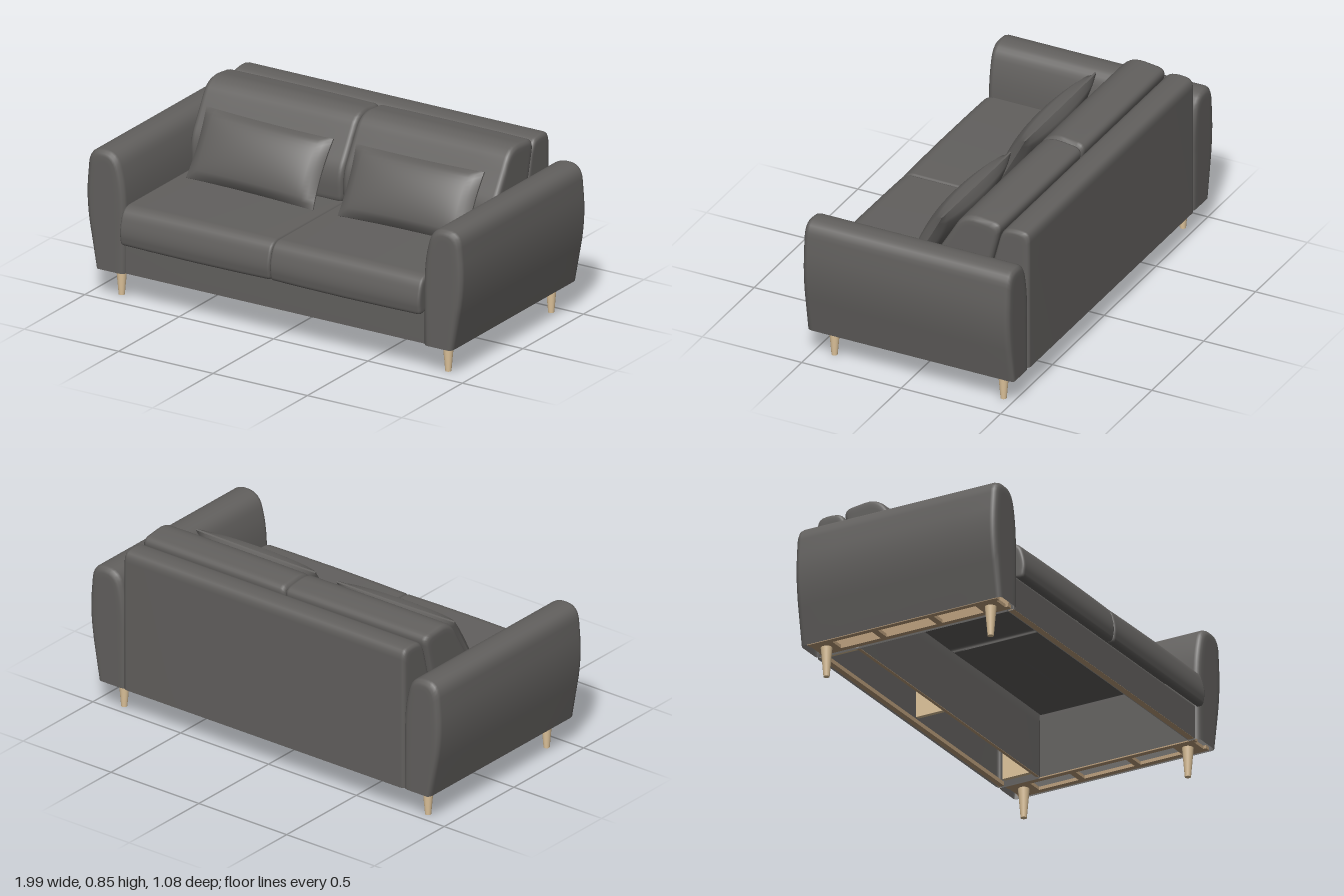
import * as THREE from 'three';

const fabric = new THREE.MeshStandardMaterial({ color: 0x62605e, side: THREE.DoubleSide });
fabric.name = 'charcoal fabric';
const wood = new THREE.MeshStandardMaterial({ color: 0xe0c59c });
wood.name = 'pale wood';
const frameWood = new THREE.MeshStandardMaterial({ color: 0xbc9f7c });
frameWood.name = 'brown frame wood';

// Rounds the corners of a polyline of [a, b, radius]
function roundPoly(pts, closed) {
  const out = [], n = pts.length;
  pts.forEach((p, i) => {
    const P = new THREE.Vector2(p[0], p[1]);
    if (!closed && (i === 0 || i === n - 1)) { out.push(P); return; }
    const ends = [pts[(i + n - 1) % n], pts[(i + 1) % n]].map(q => {
      const d = new THREE.Vector2(q[0], q[1]).sub(P);
      return P.clone().add(d.setLength(Math.min(p[2], d.length() * 0.45)));
    });
    out.push(...new THREE.QuadraticBezierCurve(ends[0], P, ends[1]).getPoints(6));
  });
  return out;
}

// Sweeps a profile from t0 to t1 along x or z, with rounded ends.
// An open profile gives a shell without a bottom.
function loft(axis, pts, t0, t1, bevel, closed, puff = 0) {
  const prof = roundPoly(pts, closed), n = prof.length;
  const box = new THREE.Box2().setFromPoints(prof);
  const c = box.getCenter(new THREE.Vector2()), size = box.getSize(new THREE.Vector2());
  if (!closed) c.y = box.min.y;
  const edge = [[0, 1.8], [0, 1], [0.12, 0.5], [0.5, 0.12], [1, 0]];
  const stations = edge.map(([t, k]) => [t0 + t * bevel, k * bevel]);
  for (const f of [0.2, 0.5, 0.8]) {
    stations.push([t0 + (t1 - t0) * f, -puff * Math.sin(Math.PI * f)]);
  }
  stations.push(...edge.slice().reverse().map(([t, k]) => [t1 - t * bevel, k * bevel]));
  const pos = [], idx = [];
  for (const [t, inset] of stations) {
    const sa = 1 - inset / (size.x / 2), sb = 1 - inset / (closed ? size.y / 2 : size.y);
    for (const p of prof) {
      const a = c.x + (p.x - c.x) * sa, b = c.y + (p.y - c.y) * sb;
      if (axis === 'x') pos.push(t, b, a);
      else pos.push(a, b, t);
    }
  }
  const last = stations.length - 1, m = closed ? n : n - 1;
  for (let i = 0; i < m; i++) {
    const j = (i + 1) % n;
    for (let s = 0; s < last; s++) {
      const a = s * n + i, b = s * n + j;
      idx.push(a, a + n, b, b, a + n, b + n);
    }
  }
  // End caps, wound to match the sides
  const { area, triangulateShape } = THREE.ShapeUtils, turn = area(prof), e = last * n;
  for (const [i, j, k] of triangulateShape(prof, [])) {
    const same = area([prof[i], prof[j], prof[k]]) * turn > 0;
    const [p, q] = same ? [j, k] : [k, j];
    idx.push(i, p, q, e + i, e + q, e + p);
  }
  const g = new THREE.BufferGeometry();
  g.setAttribute('position', new THREE.Float32BufferAttribute(pos, 3));
  g.setIndex(idx);
  g.computeVertexNormals();
  return g;
}

// Thin-edged pillow with drawn-out corners
function pillowGeometry(hw, hh, depth) {
  const g = new THREE.BoxGeometry(2, 2, 2, 24, 16, 1), p = g.attributes.position;
  for (let i = 0; i < p.count; i++) {
    const u = p.getX(i), v = p.getY(i), s = Math.sign(p.getZ(i));
    const fat = Math.pow((1 - u * u) * (1 - v * v), 0.45);
    p.setXYZ(i,
      u * hw * (1 - 0.03 * (1 - v * v)),
      v * hh * (1 - 0.03 * (1 - u * u)),
      s * (0.004 + depth * fat));
  }
  g.computeVertexNormals();
  return g;
}

export function createModel() {
  const sofa = new THREE.Group();
  sofa.name = 'sofa';
  const add = (name, geo, mat, parent = sofa) => {
    const m = new THREE.Mesh(geo, mat);
    m.name = name;
    parent.add(m);
    return m;
  };
  const board = (name, w, h, d, x, y, z, parent, mat = frameWood) =>
    add(name, new THREE.BoxGeometry(w, h, d), mat, parent).position.set(x, y, z);

  // Hollow back and front apron
  add('backrest', loft('x', [[-0.315, 0.14], [-0.315, 0.5, 0.1], [-0.402, 0.82, 0.05],
    [-0.47, 0.832, 0.05], [-0.537, 0.822, 0.045], [-0.537, 0.14]], -0.8, 0.8, 0.02, false), fabric);
  add('frontApron', loft('x', [[0.485, 0.14], [0.485, 0.31, 0.015], [0.45, 0.31, 0.01],
    [0.45, 0.14]], -0.8, 0.8, 0.004, false), fabric);

  // Wooden base rails
  board('frontRail', 1.58, 0.02, 0.03, 0, 0.152, 0.467);
  board('backRail', 1.58, 0.02, 0.025, 0, 0.152, -0.515);
  board('backBoard', 1.58, 0.24, 0.015, 0, 0.265, -0.33);
  for (const x of [-0.76, 0, 0.76]) board('backDivider', 0.02, 0.2, 0.15, x, 0.255, -0.412, sofa, wood);

  for (const side of [1, -1]) {
    const half = new THREE.Group();
    half.name = side > 0 ? 'leftSide' : 'rightSide';
    half.scale.x = side;
    sofa.add(half);

    // Arm, bulging outward and rounded on top
    add('arm', loft('z', [[0.79, 0.14], [0.79, 0.54, 0.12], [0.835, 0.71, 0.07],
      [0.98, 0.71, 0.07], [1.003, 0.45, 0.14], [0.942, 0.14]],
      -0.535, 0.503, 0.028, false), fabric, half);

    // Ladder frame inside the arm
    board('armBoard', 0.012, 0.1, 0.96, 0.803, 0.2, -0.015, half);
    for (const x of [0.817, 0.92]) board('armRail', 0.026, 0.016, 0.98, x, 0.15, -0.015, half);
    for (const z of [-0.445, -0.17, 0.12, 0.405]) {
      board('armCrossbar', 0.09, 0.016, Math.abs(z) > 0.3 ? 0.11 : 0.03, 0.868, 0.15, z, half);
    }

    // Tapered legs
    for (const z of [0.405, -0.445]) {
      add(z > 0 ? 'frontLeg' : 'backLeg', new THREE.CylinderGeometry(0.027, 0.014, 0.15, 24), wood, half)
        .position.set(0.865, 0.075, z);
    }

    // Seat cushion, hollow underneath, with a rolled front
    add('seatCushion', loft('x', [[0.53, 0.29, 0.02], [0.542, 0.36, 0.05], [0.51, 0.468, 0.05],
      [-0.32, 0.468, 0.005], [-0.32, 0.448, 0.005], [0.48, 0.448, 0.04], [0.5, 0.29, 0.005]],
      0, 0.795, 0.014, true, 0.003), fabric, half);

    // Leaning back cushion
    add('backCushion', loft('x', [[-0.065, 0.45, 0.04], [-0.058, 0.6, 0.1], [-0.125, 0.71, 0.05],
      [-0.212, 0.858, 0.08], [-0.4, 0.836, 0.045], [-0.36, 0.68, 0.1], [-0.305, 0.45, 0.04]],
      0, 0.808, 0.025, true, 0.002), fabric, half);
  }

  // Throw pillows leaning on the back cushions
  [[-0.39, 0.618, 0.004, 0.02], [0.415, 0.62, 0.01, -0.01]].forEach(([x, y, z, roll], i) => {
    const p = add(i ? 'leftPillow' : 'rightPillow', pillowGeometry(0.338, 0.166, 0.068), fabric);
    p.position.set(x, y, z);
    p.rotation.set(-0.5, 0, -roll);
  });
  return sofa;
}
